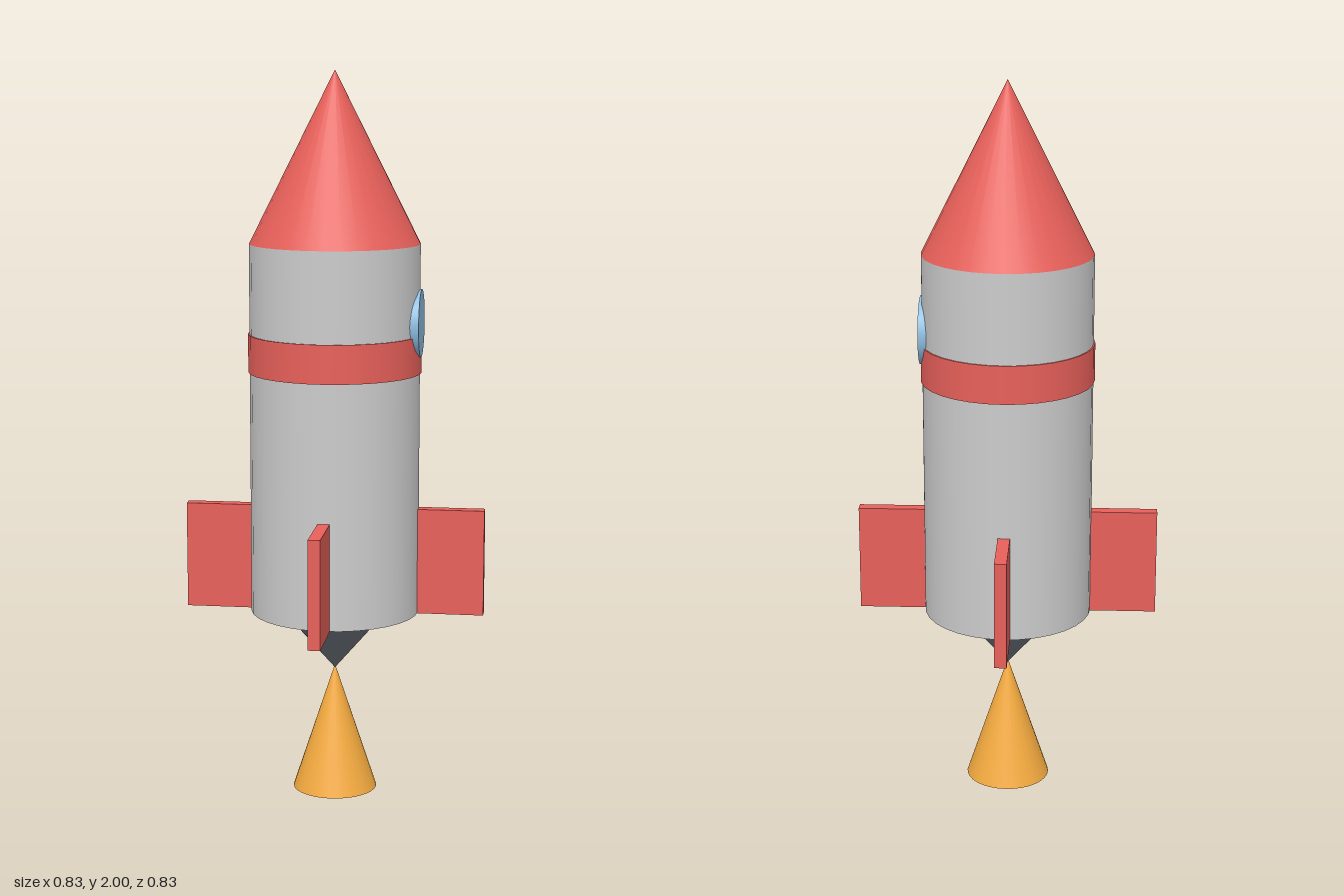
import * as THREE from 'three';

const SEGMENTS = 32;
const paint = (color) => new THREE.MeshStandardMaterial({ color });

export function createModel() {
  const rocket = new THREE.Group();
  rocket.name = 'rocket';
  const grey = paint(0xcccccc);
  const red = paint(0xe8605a);
  const dark = paint(0x6c7078);
  const orange = paint(0xf5ab40);
  const blue = paint(0x90bfe2);

  // Adds a round part standing between two heights
  function addRound(name, topRadius, bottomRadius, y0, y1, material) {
    const geometry = new THREE.CylinderGeometry(topRadius, bottomRadius, y1 - y0, SEGMENTS);
    const mesh = new THREE.Mesh(geometry, material);
    mesh.name = name;
    mesh.position.y = (y0 + y1) / 2;
    rocket.add(mesh);
    return mesh;
  }

  // Hull, from the top down
  addRound('noseCone', 0, 0.233, 1.537, 2, red);
  addRound('body', 0.233, 0.233, 0.515, 1.537, grey);
  addRound('band', 0.237, 0.237, 1.187, 1.292, red);

  // Engine nozzle points down and meets the tip of the flame
  addRound('nozzle', 0.146, 0, 0.345, 0.515, dark);
  addRound('flame', 0, 0.117, 0, 0.355, orange);

  // Round window on the left side
  const porthole = addRound('window', 0.093, 0.093, 1.3, 1.347, blue);
  porthole.rotation.z = -Math.PI / 2;
  porthole.position.set(0.2135, 1.323, 0);

  // Four plain fins, sunk slightly into the body
  for (let i = 0; i < 4; i++) {
    const pivot = new THREE.Group();
    pivot.name = `fin${i + 1}`;
    const fin = new THREE.Mesh(new THREE.BoxGeometry(0.205, 0.295, 0.033), red);
    fin.name = 'finPanel';
    fin.position.set(0.3125, 0.6625, 0);
    pivot.rotation.y = (i * Math.PI) / 2;
    pivot.add(fin);
    rocket.add(pivot);
  }

  return rocket;
}
